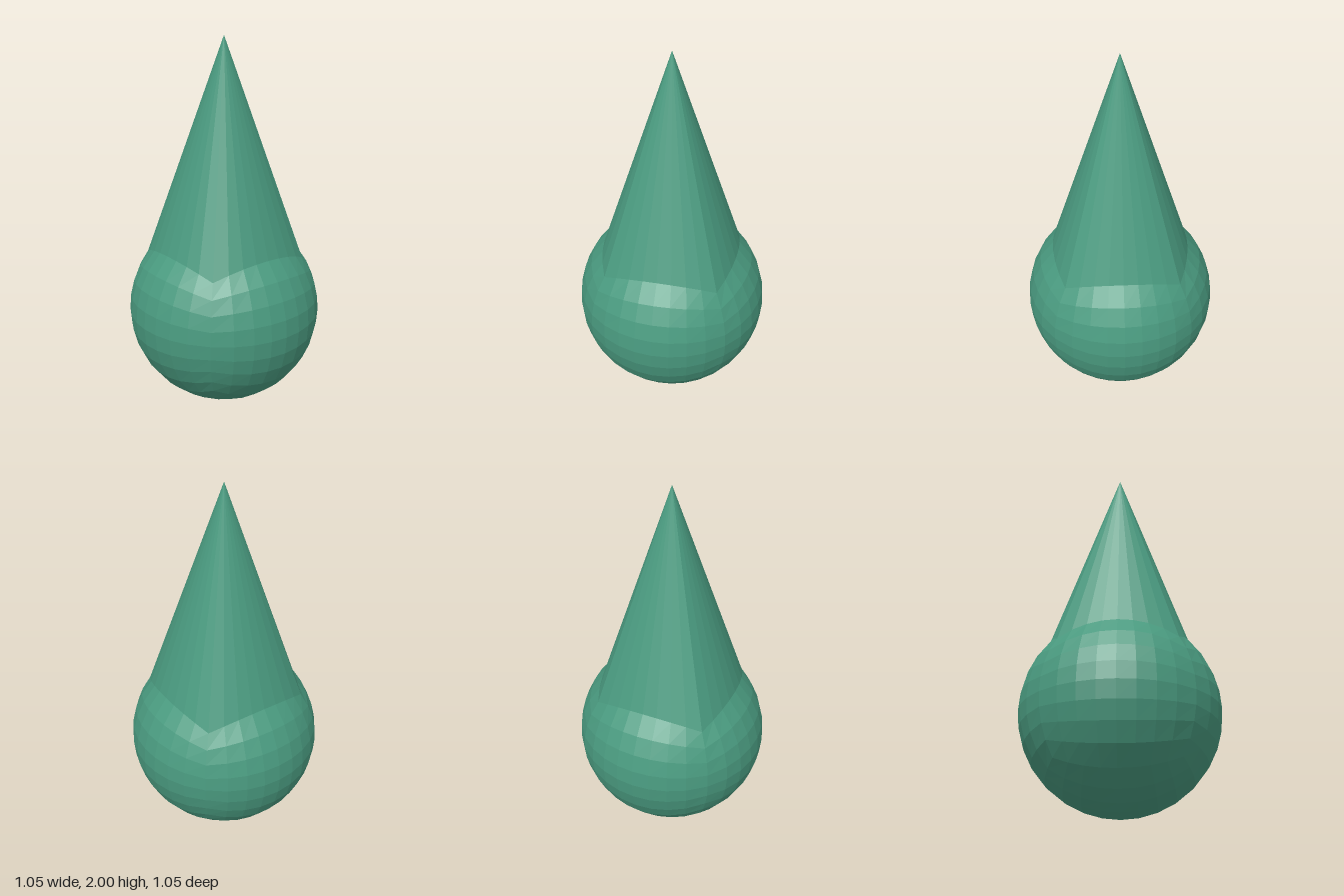
import * as THREE from 'three';

const N = 8;          // divisions per cube side
const R = 0.525;      // ball radius, also the height of its centre
const APEX = 2;

// Rounds a point of the cube (-1..1) onto the ball.
function toBall(x, y, z) {
  const f = (a, b, c) => a * Math.sqrt(1 - b * b / 2 - c * c / 2 + b * b * c * c / 3);
  return new THREE.Vector3(f(x, y, z), f(y, z, x), f(z, x, y)).multiplyScalar(R).add(new THREE.Vector3(0, R, 0));
}

// Lower bulb: a rounded cube grid with its top side left out.
function bulbGeometry() {
  const box = new THREE.BoxGeometry(2, 2, 2, N, N, N);
  const index = Array.from(box.index.array);
  index.splice(2 * N * N * 6, N * N * 6);
  box.setIndex(index);
  box.clearGroups();
  const p = box.attributes.position;
  for (let i = 0; i < p.count; i++) {
    const v = toBall(p.getX(i), p.getY(i), p.getZ(i));
    p.setXYZ(i, v.x, v.y, v.z);
  }
  const flat = box.toNonIndexed();
  flat.computeVertexNormals();
  return flat;
}

// Spike: a fan from the open rim of the bulb to the tip.
function spikeGeometry() {
  const rim = [];
  for (let side = 0; side < 4; side++) {
    for (let i = 0; i < N; i++) {
      let x = 1, z = -1 + 2 * i / N;
      for (let k = 0; k < side; k++) [x, z] = [-z, x];
      rim.push(toBall(x, 1, z));
    }
  }
  const tip = new THREE.Vector3(0, APEX, 0);
  const points = [];
  rim.forEach((cur, i) => points.push(tip, rim[(i + 1) % rim.length], cur));
  const g = new THREE.BufferGeometry().setFromPoints(points);
  g.computeVertexNormals();
  return g;
}

export function createModel() {
  const group = new THREE.Group();
  group.name = 'drop';
  const material = new THREE.MeshStandardMaterial({ color: 0x4a9b80, flatShading: true });
  const add = (name, geometry) => {
    const mesh = new THREE.Mesh(geometry, material);
    mesh.name = name;
    group.add(mesh);
  };
  add('bulb', bulbGeometry());
  add('spike', spikeGeometry());
  return group;
}
